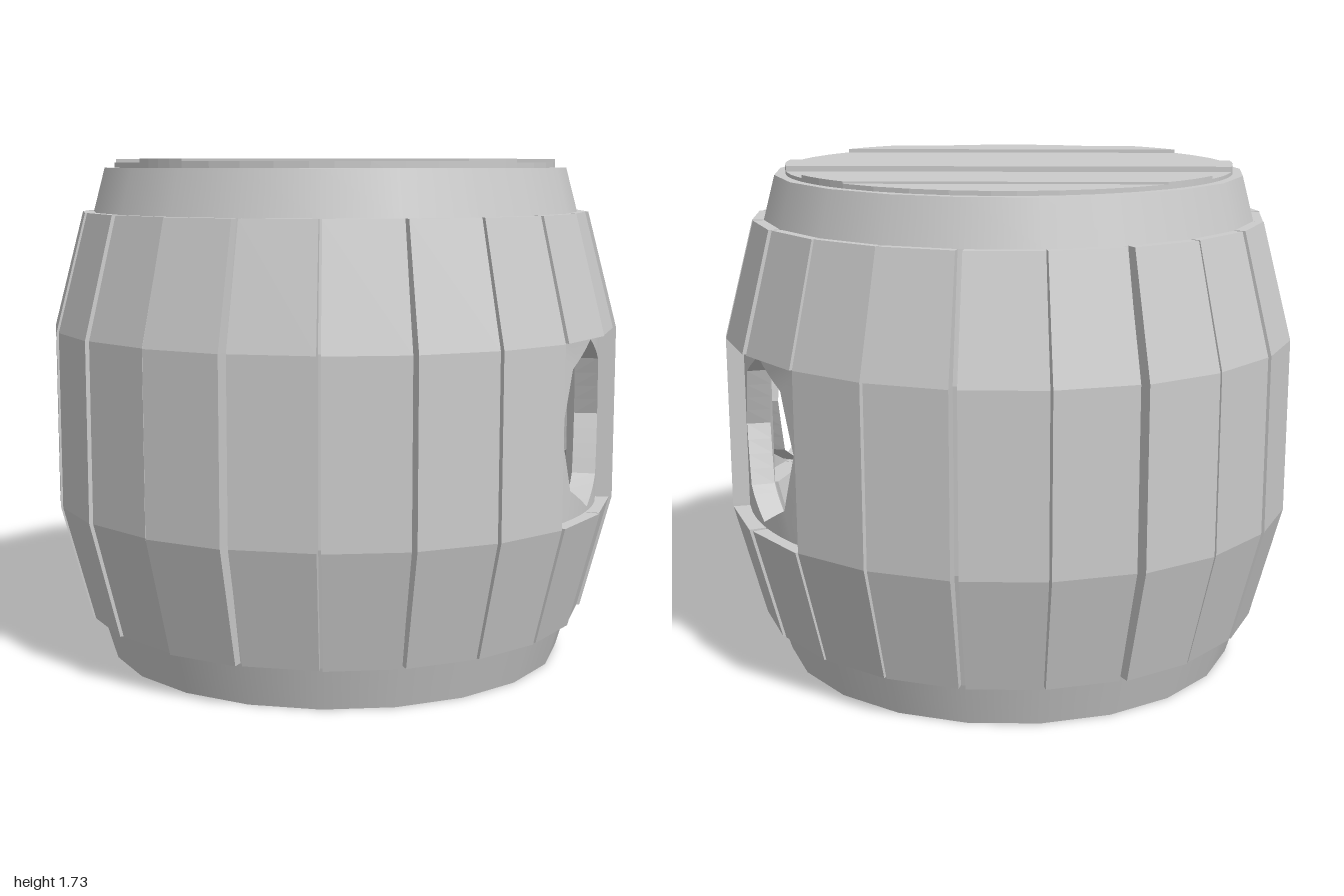
import * as THREE from 'three';

const COUNT = 21, STEP = (Math.PI * 2) / COUNT;
const WALL = 0.93, HOLE_R = 0.85;
const front = new THREE.MeshStandardMaterial({ color: 0xcccccc });
const both = new THREE.MeshStandardMaterial({ color: 0xcccccc, side: THREE.DoubleSide });
const flat = new THREE.MeshStandardMaterial({ color: 0xcccccc, flatShading: true });
const flatBoth = new THREE.MeshStandardMaterial({ color: 0xcccccc, flatShading: true, side: THREE.DoubleSide });

// small repeatable variation in -1..1
let seed = 7;
const vary = () => {
  seed = (seed * 16807) % 2147483647;
  return (seed / 2147483647) * 2 - 1;
};

function add(parent, name, geometry, material) {
  const mesh = new THREE.Mesh(geometry, material);
  mesh.name = name;
  parent.add(mesh);
  return mesh;
}

function build(points, index) {
  const g = new THREE.BufferGeometry();
  g.setAttribute('position', new THREE.Float32BufferAttribute(points.flat(), 3));
  g.setIndex(index);
  g.computeVertexNormals();
  return g;
}

// part of the barrel wall, from angle a0 to a1 measured from +x towards +z in plank steps
function wall(profile, a0, a1) {
  const pts = profile.map(([r, y]) => new THREE.Vector2(r, y));
  return new THREE.LatheGeometry(pts, a1 - a0, Math.PI / 2 - a1 * STEP, (a1 - a0) * STEP);
}

// bent plank: levels of [inner radius, outer radius, inner half width, outer half width, y]
const LEVELS = [
  [0.75, 0.868, 0.112, 0.124, 0.15],
  [0.85, 0.972, 0.126, 0.138, 0.55],
  [0.85, 0.972, 0.126, 0.138, 1.15],
  [0.75, 0.868, 0.112, 0.124, 1.55],
];
function plank(levels) {
  const points = [], index = [];
  for (const [ri, ro, wi, wo, y] of levels) points.push([ri, y, -wi], [ro, y, -wo], [ro, y, wo], [ri, y, wi]);
  for (let l = 0; l < levels.length - 1; l++) {
    for (let j = 0; j < 4; j++) {
      const a = l * 4 + j, b = l * 4 + ((j + 1) % 4), c = b + 4, d = a + 4;
      index.push(a, d, c, a, c, b);
    }
  }
  const t = (levels.length - 1) * 4;
  index.push(0, 1, 2, 0, 2, 3, t, t + 3, t + 2, t, t + 2, t + 1);
  return build(points, index);
}

// strip between two loops of equal length
function band(loopA, loopB) {
  const n = loopA.length, index = [];
  for (let i = 0; i < n; i++) {
    const k = (i + 1) % n;
    index.push(i, k, n + k, i, n + k, n + i);
  }
  return build([...loopA, ...loopB], index);
}

const onWall = (r, angle, y) => [r * Math.cos(angle), y, r * Math.sin(angle)];

// wall panel with an eight-sided window, side = 1 or -1
function windowPanel(parent, side) {
  const border = [], outer = [], inner = [];
  const mid = 1.5 * STEP, centre = 0.43, n = 32;
  for (let i = 0; i < n; i++) {
    const a = (i / n) * Math.PI * 2, c = Math.cos(a), s = Math.sin(a);
    const m = Math.max(Math.abs(c), Math.abs(s));
    border.push(onWall(WALL, side * (mid + (STEP * c) / m), 0.85 + (0.3 * s) / m));
    // octagon radius along this direction
    const e = Math.PI / 4, f = Math.cos(e / 2) / Math.cos((a % e) - e / 2);
    const angle = side * (centre + 0.25 * c * f), y = 0.85 + 0.285 * s * f;
    outer.push(onWall(WALL, angle, y));
    inner.push(onWall(HOLE_R, angle, y));
  }
  const group = new THREE.Group();
  group.name = side > 0 ? 'frontWindow' : 'backWindow';
  add(group, 'windowPanel', band(border, outer), both);
  add(group, 'windowRim', band(outer, inner), flatBoth);
  parent.add(group);
}

// one lid board, cut by the round edge of the lid
function lidBoard(v0, v1, R) {
  const shape = new THREE.Shape(), n = 4, a0 = Math.asin(v0 / R), a1 = Math.asin(v1 / R);
  for (let side = 1; side >= -1; side -= 2) {
    for (let i = 0; i <= n; i++) {
      const t = side > 0 ? i / n : 1 - i / n, a = a0 + (a1 - a0) * t;
      const x = side * R * Math.cos(a), y = R * Math.sin(a);
      if (side > 0 && i === 0) shape.moveTo(x, y);
      else shape.lineTo(x, y);
    }
  }
  return new THREE.ExtrudeGeometry(shape, { depth: 0.06, bevelEnabled: false }).rotateX(Math.PI / 2);
}

export function createModel() {
  const barrel = new THREE.Group();
  barrel.name = 'barrel';

  // wall
  add(barrel, 'bottomHoop', wall([[0.8, 0], [0.845, 0.15]], -0.5, 20.5), both);
  add(barrel, 'lowerWall', wall([[0.845, 0.15], [WALL, 0.55]], -0.5, 20.5), front);
  add(barrel, 'middleWall', wall([[WALL, 0.55], [WALL, 1.15]], 2.5, 18.5), front);
  add(barrel, 'windowPost', wall([[WALL, 0.55], [WALL, 1.15]], -0.5, 0.5), front);
  add(barrel, 'upperWall', wall([[WALL, 1.15], [0.845, 1.55]], -0.5, 20.5), front);
  add(barrel, 'topHoop', wall([[0.845, 1.55], [0.805, 1.7]], -0.5, 20.5), both);
  add(barrel, 'topRim', wall([[0.805, 1.7], [0.74, 1.7]], -0.5, 20.5), both);
  add(barrel, 'base', wall([[0, 0], [0.8, 0]], -0.5, 20.5), both);
  windowPanel(barrel, 1);
  windowPanel(barrel, -1);

  // planks, the two pairs at the windows are cut short
  const planks = new THREE.Group();
  planks.name = 'planks';
  for (let k = 0; k < COUNT; k++) {
    const holder = new THREE.Group();
    holder.name = 'plank';
    holder.rotation.y = -k * STEP + vary() * 0.008;
    const shift = vary() * 0.008;
    const cut = [1, 2, COUNT - 1, COUNT - 2].includes(k);
    const parts = cut ? [LEVELS.slice(0, 2), LEVELS.slice(2)] : [LEVELS];
    for (const part of parts) add(holder, 'plankBoard', plank(part), flat).position.x = shift;
    planks.add(holder);
  }
  barrel.add(planks);

  // lid boards at slightly different heights
  const lid = new THREE.Group();
  lid.name = 'lid';
  const edges = [-0.765, -0.575, -0.385, -0.175, 0.05, 0.465, 0.62, 0.765];
  const tops = [1.715, 1.722, 1.712, 1.73, 1.718, 1.73, 1.722];
  tops.forEach((y, i) => {
    add(lid, 'lidBoard', lidBoard(edges[i], edges[i + 1], 0.766), flat).position.y = y;
  });
  lid.rotation.y = -0.073;
  barrel.add(lid);

  return barrel;
}
